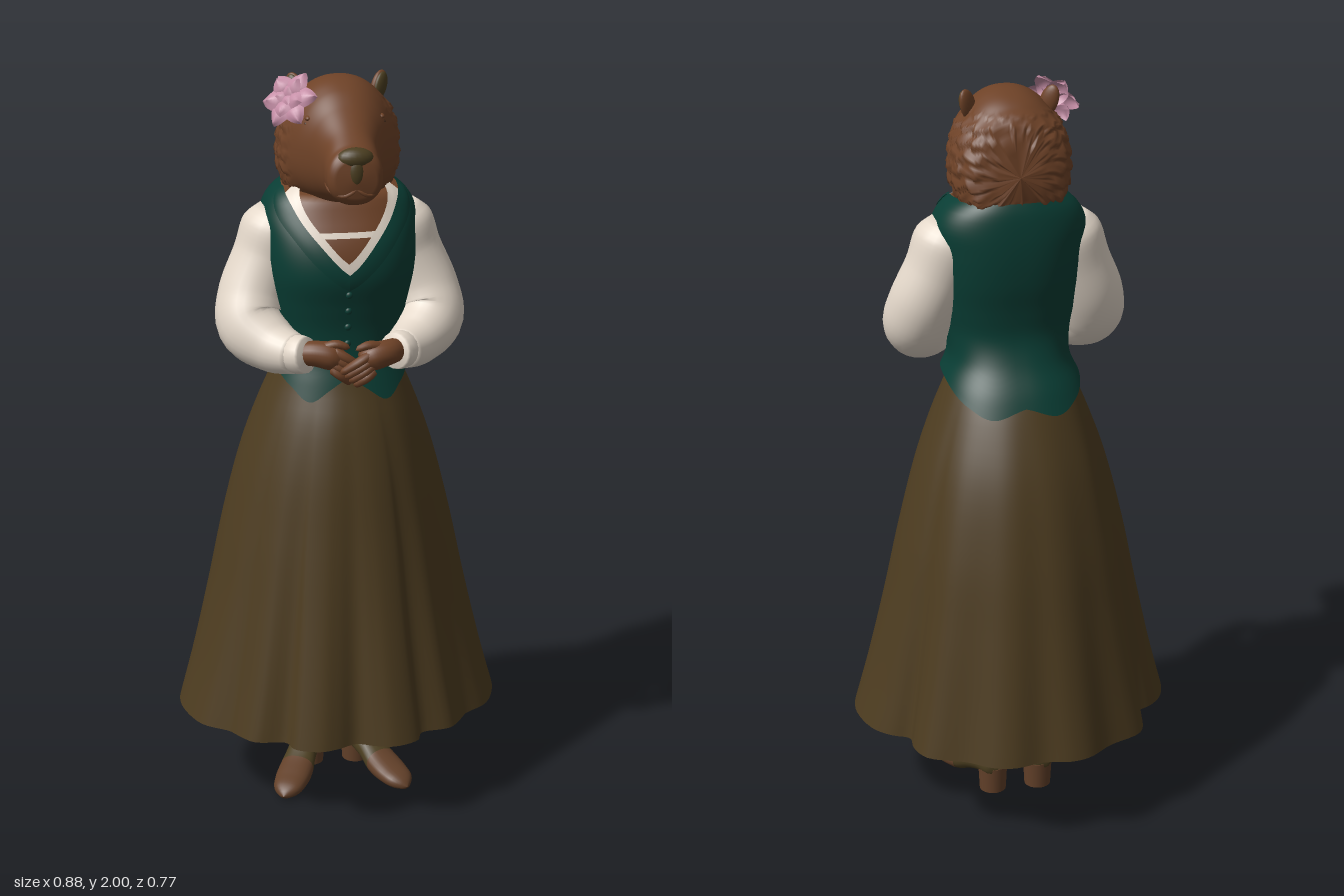
import * as THREE from 'three';

const { sin, cos, abs, sign, min, PI, floor } = Math;
const mat = (name, color) => Object.assign(new THREE.MeshStandardMaterial({ color, side: THREE.DoubleSide }), { name });

// Smooth interpolation of a table whose first column is the parameter
const table = (rows) => {
  const it = new THREE.CubicInterpolant(rows.map((r) => r[0]), rows.flatMap((r) => r.slice(1)), rows[0].length - 1);
  return (t) => Array.from(it.evaluate(t));
};
const step = THREE.MathUtils.smoothstep;
const se = (a, k = 0.9) => sign(a) * abs(a) ** k;

// Grid surface from fn(u, v) -> [x, y, z]; u runs around, v along
function surface(fn, nu, nv, closed = true) {
  const pos = [], idx = [], cols = closed ? nu : nu + 1;
  for (let i = 0; i <= nv; i++) for (let j = 0; j < cols; j++) pos.push(...fn(j / nu, i / nv));
  for (let i = 0; i < nv; i++) for (let j = 0; j < nu; j++) {
    const k = (j + 1) % cols, a = i * cols + j, b = i * cols + k;
    idx.push(a, b, b + cols, a, b + cols, a + cols);
  }
  const g = new THREE.BufferGeometry();
  g.setAttribute('position', new THREE.Float32BufferAttribute(pos, 3));
  g.setIndex(idx);
  g.computeVertexNormals();
  return g;
}

// Tapered tube through [x, y, z, radius] points, closed at both ends
function limb(pts, nv = 20, nu = 18) {
  const c = new THREE.CatmullRomCurve3(pts.map((p) => new THREE.Vector3(...p)));
  const f = c.computeFrenetFrames(nv, false);
  const radius = table(pts.map((p, i) => [i / (pts.length - 1), p[3]]));
  return surface((u, v) => {
    const i = Math.round(v * nv), a = u * 2 * PI;
    const r = i === 0 || i === nv ? 0 : radius(c.getUtoTmapping(v))[0];
    return c.getPointAt(v).addScaledVector(f.normals[i], r * cos(a)).addScaledVector(f.binormals[i], r * sin(a)).toArray();
  }, nu, nv);
}

// Torso: y, half width, front z, back z
const torsoAt = table([[1.16, .212, .235, -.185], [1.22, .188, .217, -.155], [1.28, .162, .2, -.115],
  [1.35, .165, .2, -.09], [1.42, .18, .213, -.095], [1.5, .195, .23, -.11], [1.58, .202, .218, -.117],
  [1.65, .2, .185, -.115], [1.7, .168, .16, -.107], [1.73, .12, .13, -.095]]);
const torso = (phi, y, k = 1) => {
  const [rx, zf, zb] = torsoAt(y);
  return [k * rx * se(sin(phi), .84), y, (zf + zb) / 2 + k * (zf - zb) / 2 * se(cos(phi), .84)];
};
const neckline = table([[0, 1.51], [.35, 1.6], [.7, 1.672], [1, 1.7], [1.57, 1.715], [3.15, 1.72]]);
const vestHem = table([[0, 1.235], [.2, 1.205], [.42, 1.175], [.75, 1.205], [1.2, 1.235], [1.8, 1.23], [2.4, 1.19], [2.8, 1.165], [3.15, 1.19]]);

// Head: z, top y, bottom y, half width
const headAt = table([[-.1, 1.83, 1.75, .035], [-.085, 1.9, 1.69, .095], [-.04, 1.955, 1.665, .138], [.02, 1.985, 1.655, .15],
  [.08, 1.99, 1.662, .146], [.14, 1.967, 1.68, .124], [.19, 1.93, 1.693, .094], [.24, 1.895, 1.703, .074],
  [.29, 1.863, 1.712, .07], [.318, 1.846, 1.722, .064], [.332, 1.82, 1.745, .042]]);
const headPoint = (u, v) => {
  const z = -.1 + .432 * v, a = u * 2 * PI, [t, b, w] = headAt(z);
  const k = v === 0 || v === 1 ? 0 : 1, egg = 1 - .13 * sin(a) * (1 - step(z, .12, .22));
  const p = [k * w * egg * se(cos(a)), (t + b) / 2 + k * (t - b) / 2 * se(sin(a)), z];
  // Overlapping locks of fur on the cheeks and nape
  const ang = Math.atan2(p[0], .03 - p[2]);
  const row = p[1] / .036 + .45 * abs(sin(8 * ang + 2 * sin(p[1] * 40)));
  const fur = .011 * (1 - row + floor(row)) * (1 - step(z, .05, .13)) * (1 - step(p[1], 1.89, 1.95));
  const r = 1 + fur / .16;
  return [p[0] * r, 1.82 + (p[1] - 1.82) * r, .02 + (p[2] - .02) * r];
};

// Half of the scalloped skirt hem as [x, z], front to back
const HEM = [[0, .355], [.05, .375], [.1, .385], [.165, .36], [.185, .318], [.265, .303], [.31, .25], [.325, .228], [.39, .18],
  [.43, .09], [.438, .01], [.41, -.09], [.37, -.135], [.322, -.165], [.322, -.215], [.295, -.28], [.2, -.325], [.13, -.375], [.075, -.387], [0, -.374]];

// Shoe: z, half width, top, bottom
const shoeAt = table([[-.066, .02, .09, .06], [-.05, .038, .115, .05], [0, .043, .122, .045], [.05, .041, .1, .03],
  [.1, .047, .075, .008], [.16, .046, .055, .002], [.205, .033, .04, .003], [.23, .006, .022, .008]]);
const shoePart = (z0, z1) => surface((u, v) => {
  const z = z0 + (z1 - z0) * v, [w, t, b] = shoeAt(z), a = u * 2 * PI;
  const k = z < -.065 || z > .229 ? 0 : 1;
  return [k * w * se(cos(a)), (t + b) / 2 + k * (t - b) / 2 * se(sin(a)), z];
}, 24, 16);

export function createModel() {
  const model = new THREE.Group();
  const fur = mat('fur brown', 0x6e4227), green = mat('vest green', 0x093d34), olive = mat('skirt olive', 0x4d3c20);
  const cream = mat('blouse cream', 0xe4d8ca), pink = mat('flower pink', 0xc68fa7), dark = mat('eye dark', 0x35241a);
  const tan = mat('shoe brown', 0x624029), moss = mat('moss olive', 0x4b3e20);
  const add = (name, geo, m, parent = model) => {
    const o = new THREE.Mesh(geo, m);
    o.name = name;
    parent.add(o);
    return o;
  };
  const ball = (name, m, p, s, parent = model) => {
    const o = add(name, new THREE.SphereGeometry(1, 20, 14), m, parent);
    o.position.set(...p);
    o.scale.set(...s);
    return o;
  };

  // Skirt, folds deepening towards the hem, with a recessed lining
  const hem = new THREE.CatmullRomCurve3([...HEM, ...HEM.slice(1, -1).reverse().map(([x, z]) => [-x, z])]
    .map(([x, z]) => new THREE.Vector3(x / .44, 0, z / .387)), true);
  const skirtAt = table([[.255, .44, .387, -.387], [.4, .4, .362, -.362], [.6, .352, .327, -.328], [.8, .308, .294, -.292],
    [1, .255, .26, -.24], [1.12, .212, .23, -.19], [1.2, .178, .2, -.148], [1.27, .145, .18, -.1]]);
  add('skirt', surface((u, v) => {
    const y = .255 + 1.015 * v, [rx, zf, zb] = skirtAt(y), p = hem.getPoint(u);
    const q = p.clone().normalize().lerp(p, (1 - v) ** 1.35);
    return [q.x * rx, y, (zf + zb) / 2 + q.z * (zf - zb) / 2];
  }, 160, 32), olive);
  const liningAt = table([[0, 1, .254], [.2, .965, .259], [.4, .93, .295], [.6, .8, .32], [1, 0, .335]]);
  add('skirtLining', surface((u, v) => {
    const p = hem.getPoint(u), [k, y] = liningAt(v);
    return [p.x * .438 * k, y, p.z * .385 * k];
  }, 160, 12), olive);

  // Chest and neck
  add('chest', surface((u, v) => torso(u * 2 * PI, 1.3 + .42 * v, v === 1 ? 0 : .95), 48, 24), fur);
  add('neck', limb([[0, 1.5, .02, .08], [0, 1.6, .03, .105], [0, 1.68, .035, .118], [0, 1.78, .04, .12]]), fur);

  // Vest with pointed hem and V neckline
  add('vest', surface((u, v) => {
    const phi = (u * 2 - 1) * PI, b = vestHem(abs(phi))[0], t = neckline(abs(phi))[0];
    return torso(phi, b + (t - b) * v);
  }, 112, 36), green);
  for (const s of [1, -1]) {
    add('lapel', surface((u, v) => {
      const phi = 1.25 * u, w = .02 + .05 * sin(PI * min(1, .15 + u * .85));
      return torso(s * phi, neckline(phi)[0] + .004 - w * v, 1.035 - .02 * v * v);
    }, 20, 5, false), green);
    add('blouseNeckline', surface((u, v) => {
      const phi = 1.05 * u;
      return torso(s * phi, min(1.73, neckline(phi)[0] - .02 + .05 * v), .98);
    }, 20, 3, false), cream);
  }
  add('chestRibbon', surface((u, v) => torso((u - .5) * .7, 1.602 + .014 * v, .965), 12, 1, false), cream);
  for (const y of [1.46, 1.415, 1.37, 1.325]) ball('button', green, torso(0, y, 1.01), [.009, .009, .006]);

  // Sleeves, cuffs and folded hands
  for (const s of [1, -1]) {
    const side = (pts) => pts.map(([x, y, z, r]) => [x * s, y, z, r]);
    add('sleeve', limb(side([[.135, 1.655, .035, .055], [.153, 1.6, .037, .094], [.183, 1.52, .04, .092], [.224, 1.42, .058, .093],
      [.233, 1.355, .095, .09], [.185, 1.315, .16, .07], [.125, 1.308, .235, .046]]), 36, 28), cream);
    add('cuff', limb(side([[.15, 1.312, .205, .046], [.128, 1.312, .232, .05], [.106, 1.315, .252, .044]]), 8), cream);
    const dz = s > 0 ? .014 : -.006, dy = s > 0 ? 0 : .004;
    add('hand', limb(side([[.125, 1.315, .235, .03], [.09, 1.318, .255 + dz, .033], [.05, 1.31, .262 + dz, .035], [.02, 1.295, .264 + dz, .022]])), fur);
    for (let i = 0; i < 4; i++) add('finger', limb(side([[.055, 1.328 - i * .016 + dy, .272 + dz, .013],
      [.015 + i * .006, 1.306 - i * .014 + dy, .284 + dz, .013], [-.035 + i * .012, 1.272 - i * .011, .27 + dz, .009]]), 10, 10), fur);
    add('thumb', limb(side([[.08, 1.332, .262 + dz, .013], [.04, 1.345, .272 + dz, .012], [.005, 1.335, .276 + dz, .007]]), 10, 10), fur);
  }

  // Head
  const head = new THREE.Group();
  head.name = 'head';
  model.add(head);
  add('skullAndMuzzle', surface(headPoint, 144, 100), fur, head);
  ball('nose', moss, [0, 1.832, .308], [.046, .027, .026], head);
  ball('noseTip', moss, [0, 1.798, .322], [.02, .036, .013], head);
  for (const s of [1, -1]) {
    add('muzzleFold', limb([[0, 1.758, .33, .004], [s * .03, 1.742, .326, .005], [s * .06, 1.75, .3, .005], [s * .068, 1.765, .26, .003]], 12, 6), fur, head);
    ball('brow', fur, [s * .086, 1.9, .14], [.012, .009, .022], head).rotation.y = s * .5;
    ball('eye', dark, [s * .095, 1.887, .146], [.006, .006, .011], head).rotation.y = s * .5;
    const ear = new THREE.Group();
    ear.name = 'ear';
    ear.position.set(s * .106, 1.95, .03);
    ear.rotation.set(0, s * .6, -s * .36);
    head.add(ear);
    ball('earShell', fur, [0, 0, 0], [.025, .044, .013], ear);
    ball('earInner', moss, [0, .003, .006], [.021, .037, .011], ear);
  }

  // Flower by the right ear: three rings of pointed petals
  const flower = new THREE.Group();
  flower.name = 'flower';
  flower.position.set(-.122, 1.93, .09);
  flower.quaternion.setFromUnitVectors(new THREE.Vector3(0, 1, 0), new THREE.Vector3(-.55, .5, .6).normalize());
  head.add(flower);
  const petal = surface((u, v) => [(u - .5) * .06 * sin(PI * (.08 + .92 * v)) ** .7, v, (u - .5) ** 2 * .05 - .018 * sin(PI * v)], 6, 10, false);
  [[6, .078, 1.25], [5, .07, .75], [3, .052, .35]].forEach(([n, len, tilt], ring) => {
    for (let i = 0; i < n; i++) {
      const p = add('petal', petal, pink, flower);
      p.scale.set(1, len, 1);
      p.rotation.set(tilt, (i + ring * .5) / n * 2 * PI, 0, 'YXZ');
    }
  });
  ball('flowerHeart', pink, [0, .008, 0], [.013, .016, .013], flower);

  // Legs and turned-out heeled shoes
  for (const s of [1, -1]) {
    add('leg', limb([[s * .074, .07, -.025, .036], [s * .074, .16, -.024, .04], [s * .073, .28, -.022, .049], [s * .074, .36, -.02, .05]]), fur);
    const shoe = new THREE.Group();
    shoe.name = 'shoe';
    shoe.position.set(s * .076, 0, -.024);
    shoe.rotation.y = s * .44;
    model.add(shoe);
    add('shoeQuarter', shoePart(-.066, .1), moss, shoe);
    add('shoeToe', shoePart(.1, .23), tan, shoe);
    add('shoeHeel', new THREE.CylinderGeometry(.041, .037, .075, 20), tan, shoe).position.set(0, .0375, -.026);
    const strap = add('ankleStrap', new THREE.TorusGeometry(.039, .009, 8, 24), moss, shoe);
    strap.position.set(0, .12, 0);
    strap.rotation.x = PI / 2 + .2;
  }
  return model;
}
